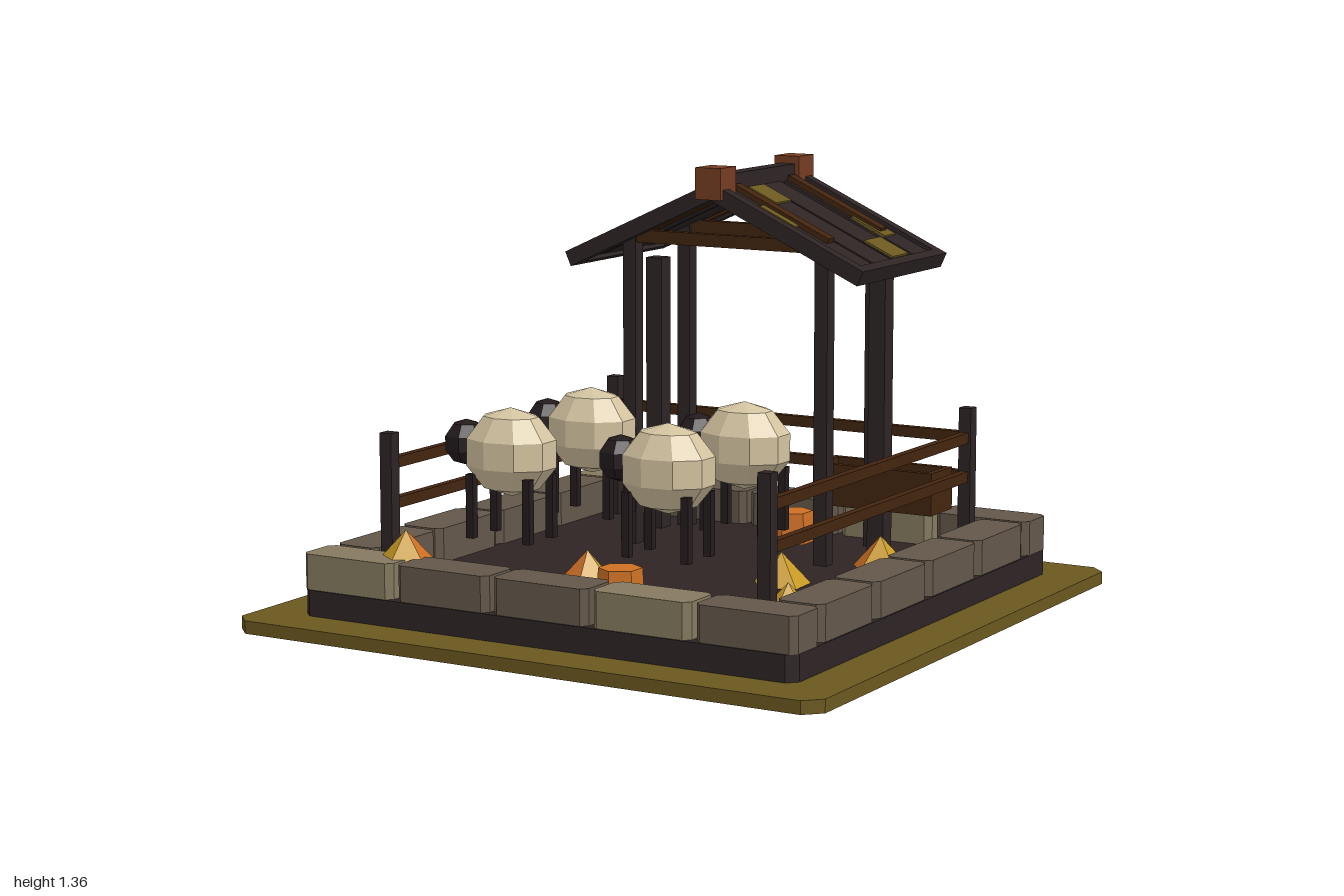
import * as THREE from 'three';

const mat = (name, color) => {
  const m = new THREE.MeshStandardMaterial({ color });
  m.name = name;
  m.flatShading = true;
  return m;
};

export function createModel() {
  const M = {
    moss: mat('moss', 0x6b5820), dark: mat('dark timber', 0x2e2424),
    stone: mat('stone', 0x63574a), paleStone: mat('pale stone', 0x857a5f),
    rail: mat('brown rail', 0x43250e), cap: mat('red brown cap', 0x743c22),
    wool: mat('wool', 0xd3c3a0), face: mat('sheep face', 0x241b1d),
    gold: mat('gold', 0xc89a24), orange: mat('orange', 0xce7024),
  };
  const root = new THREE.Group();
  root.name = 'sheepPen';

  const add = (parent, name, geo, material, x = 0, y = 0, z = 0) => {
    const mesh = new THREE.Mesh(geo, material);
    mesh.name = name;
    mesh.position.set(x, y, z);
    parent.add(mesh);
    return mesh;
  };
  const box = (parent, name, material, w, h, d, x, y, z) =>
    add(parent, name, new THREE.BoxGeometry(w, h, d), material, x, y, z);
  const group = (name) => {
    const g = new THREE.Group();
    g.name = name;
    root.add(g);
    return g;
  };

  // Slab with cut corners in plan, standing on height y
  const slab = (parent, name, material, w, d, h, cut, x, y, z) => {
    const a = w / 2, b = d / 2, c = cut;
    const pts = [[a - c, -b], [a, c - b], [a, b - c], [a - c, b], [c - a, b], [-a, b - c], [-a, c - b], [c - a, -b]];
    const shape = new THREE.Shape(pts.map(([u, v]) => new THREE.Vector2(u, v)));
    const geo = new THREE.ExtrudeGeometry(shape, { depth: h, bevelEnabled: false }).rotateX(-Math.PI / 2);
    return add(parent, name, geo, material, x, y, z);
  };

  // Ground
  slab(root, 'grassBase', M.moss, 2, 2, 0.04, 0.05, 0, 0, 0);
  slab(root, 'earthFloor', M.dark, 1.7, 1.7, 0.08, 0.03, 0, 0.04, 0);

  // Stone border: five blocks front and back, four on each side
  const border = group('stoneBorder');
  for (const s of [-1, 1]) {
    for (let i = 0; i < 5; i++)
      slab(border, 'stone', i % 3 ? M.stone : M.paleStone, 0.326, 0.15, 0.11, 0.02, (i - 2) * 0.343, 0.12, s * 0.77);
    for (let i = 0; i < 4; i++)
      slab(border, 'stone', M.stone, 0.15, 0.326, 0.11, 0.02, s * 0.77, 0.12, (i - 1.5) * 0.343);
  }

  // Fence on three sides
  const fence = group('fence');
  for (const sx of [-1, 1]) {
    for (const sz of [-1, 1]) box(fence, 'fencePost', M.dark, 0.042, 0.47, 0.042, sx * 0.655, 0.355, sz * 0.655);
    for (const y of [0.37, 0.495]) box(fence, 'sideRail', M.rail, 0.026, 0.034, 1.31, sx * 0.655, y, 0);
  }
  for (const y of [0.37, 0.495]) box(fence, 'backRail', M.rail, 1.31, 0.034, 0.026, 0, y, -0.655);

  // Feeding trough, open on top
  const trough = group('trough');
  box(trough, 'troughFloor', M.rail, 0.42, 0.03, 0.15, 0.41, 0.28, -0.545);
  for (const s of [-1, 1]) {
    box(trough, 'troughSide', M.rail, 0.42, 0.135, 0.022, 0.41, 0.333, -0.545 + s * 0.064);
    box(trough, 'troughEnd', M.rail, 0.022, 0.135, 0.15, 0.41 + s * 0.199, 0.333, -0.545);
  }

  // Shelter posts and tie beams
  const shelter = group('shelter');
  for (const s of [-1, 1]) {
    for (const z of [-0.262, -0.605]) box(shelter, 'shelterPost', M.dark, 0.046, 1.0, 0.046, s * 0.347, 0.62, z);
    box(shelter, 'sidePost', M.dark, 0.058, 0.9, 0.058, s * 0.41, 0.57, -0.525);
  }
  for (const z of [-0.262, -0.605]) box(shelter, 'tieBeam', M.rail, 0.7, 0.04, 0.03, 0, 1.12, z);

  // Roof: each slope is built along its own x axis from the ridge outwards
  const pitch = 0.43, cos = Math.cos(pitch);
  const planks = [[-0.73, -0.59], [-0.56, -0.445], [-0.433, -0.314], [-0.302, -0.16]];
  const patches = [[0.26, 0.38, -0.665, -0.59], [0.38, 0.48, -0.558, -0.447], [0.03, 0.13, -0.431, -0.33], [0.13, 0.255, -0.3, -0.22]];
  for (const s of [-1, 1]) {
    const slope = group(s > 0 ? 'leftRoofSlope' : 'rightRoofSlope');
    slope.position.y = 1.285;
    slope.rotation.z = -s * pitch;
    const strip = (name, material, x0, x1, z0, z1, h, y) =>
      box(slope, name, material, (x1 - x0) / cos, h, z1 - z0, s * (x0 + x1) / 2 / cos, y, (z0 + z1) / 2);
    for (const [z0, z1] of planks) strip('roofPlank', M.dark, 0, 0.51, z0, z1, 0.025, 0);
    for (const [x0, x1, z0, z1] of patches) strip('mossPatch', M.moss, x0, x1, z0, z1, 0.008, 0.015);
    for (const z of [-0.27, -0.625]) strip('roofBatten', M.rail, 0.02, 0.355, z - 0.02, z + 0.02, 0.05, 0.004);
    for (const z of [-0.175, -0.715]) strip('rakeBoard', M.dark, 0, 0.525, z - 0.02, z + 0.02, 0.05, 0);
    strip('eaveBoard', M.dark, 0.495, 0.525, -0.735, -0.155, 0.05, 0);
  }
  const ridge = group('ridge');
  box(ridge, 'ridgeBeam', M.dark, 0.055, 0.055, 0.52, 0, 1.308, -0.445);
  for (const z of [-0.188, -0.7]) box(ridge, 'ridgeCap', M.cap, 0.09, 0.1, 0.098, 0, 1.31, z);

  // Flock of four sheep looking to -x
  const bodyGeo = new THREE.SphereGeometry(1, 9, 5).scale(0.157, 0.138, 0.122);
  const headGeo = new THREE.SphereGeometry(0.072, 7, 5);
  for (const x of [-0.405, 0.155]) for (const z of [-0.1, 0.365]) {
    const sheep = group('sheep');
    sheep.position.set(x, 0, z);
    add(sheep, 'woolBody', bodyGeo, M.wool, 0, 0.508, 0);
    add(sheep, 'head', headGeo, M.face, -0.165, 0.525, 0);
    for (const sx of [-1, 1]) for (const sz of [-1, 1])
      box(sheep, 'leg', M.face, 0.026, 0.2, 0.026, sx * 0.103, 0.34, sz * 0.066);
  }

  // Five-sided hay heaps, some faces orange
  const heapGeo = new THREE.ConeGeometry(0.092, 0.1, 5, 1, true).toNonIndexed();
  heapGeo.computeVertexNormals();
  heapGeo.clearGroups();
  const faces = heapGeo.attributes.position.count / 3 / 5;
  for (let i = 0; i < 5; i++) heapGeo.addGroup(i * faces * 3, faces * 3, i === 1 ? 1 : 0);
  const heaps = group('hayHeaps');
  [[0.37, 0.05, 0.12, 1], [-0.155, 0.325, 0.12, 4], [0.595, 0.42, 0.12, 1.2], [-0.555, 0.715, 0.21, 0], [0.52, -0.32, 0.12, 3.5]]
    .forEach(([x, z, y, turn]) => {
      add(heaps, 'hayHeap', heapGeo, [M.gold, M.orange], x, y + 0.05, z).rotation.y = turn;
    });

  // Orange pumpkins on the floor
  const pumpkins = group('pumpkins');
  for (const [x, z] of [[0.11, 0.565], [0.13, -0.46]])
    add(pumpkins, 'pumpkin', new THREE.CylinderGeometry(0.066, 0.072, 0.1, 6), M.orange, x, 0.188, z);
  box(pumpkins, 'smallPumpkin', M.orange, 0.04, 0.05, 0.05, 0.67, 0.145, 0.405);

  return root;
}
